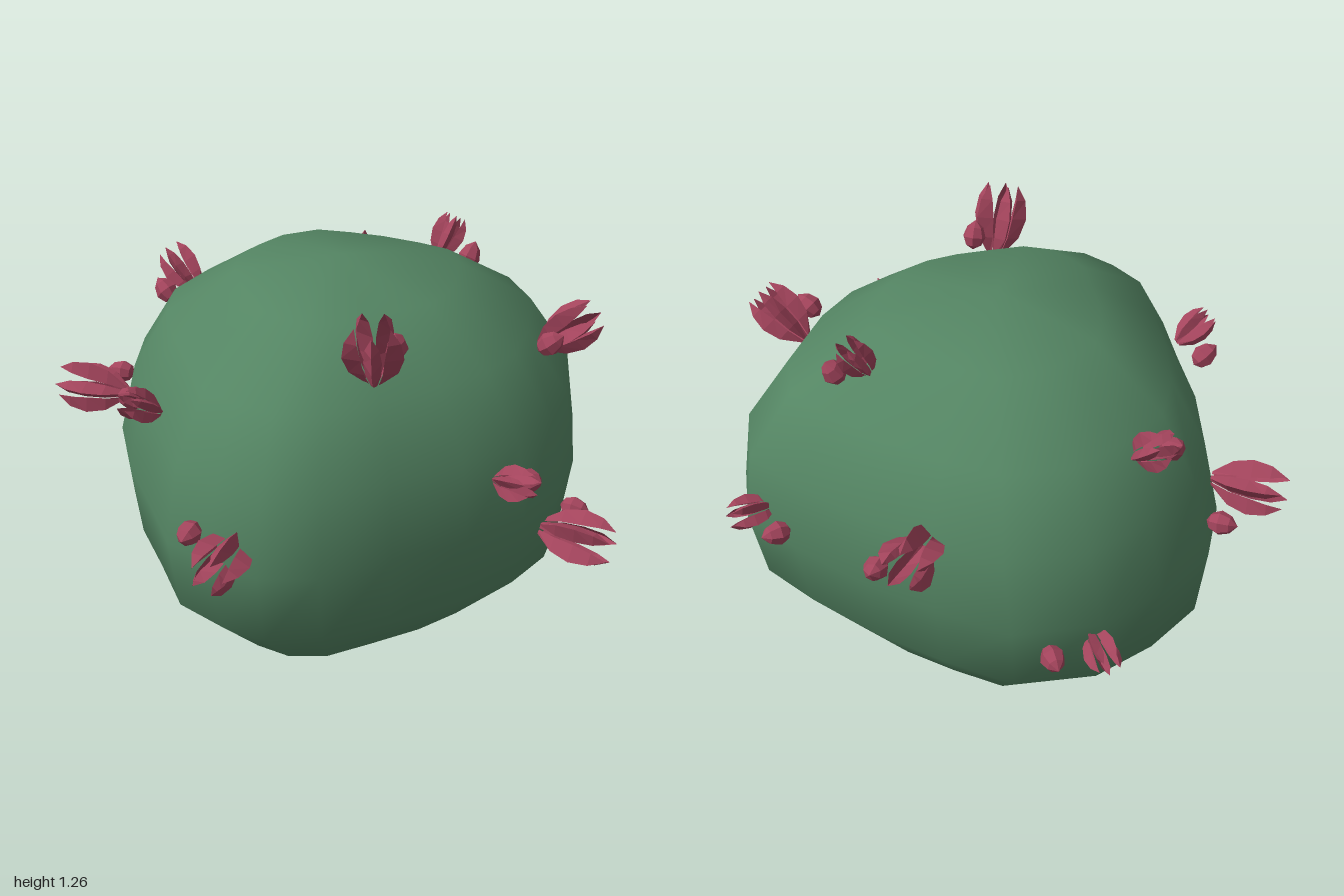
import * as THREE from 'three';

const green = new THREE.MeshStandardMaterial({ color: 0x548563 });
green.name = 'cactus green';
const red = new THREE.MeshStandardMaterial({ color: 0xa3445c, side: THREE.DoubleSide, flatShading: true });
red.name = 'blossom red';

// Widest outline of the body seen from above, [x, z], going from +x towards +z
const PLAN = [
  [0.79, 0], [0.73, 0.2], [0.6, 0.4], [0.42, 0.6], [0.25, 0.78], [0.07, 0.85], [-0.1, 0.83], [-0.28, 0.77],
  [-0.45, 0.58], [-0.62, 0.4], [-0.78, 0.17], [-0.86, -0.05], [-0.82, -0.3], [-0.73, -0.53], [-0.52, -0.72],
  [-0.26, -0.76], [0, -0.78], [0.3, -0.765], [0.53, -0.73], [0.69, -0.55], [0.78, -0.22],
];
// Rings of the body: height, left, right, back and front extents
const RINGS = [
  [0, -0.6, 0.53, -0.57, 0.58], [0.22, -0.83, 0.755, -0.73, 0.8], [0.49, -0.86, 0.79, -0.78, 0.85],
  [0.75, -0.79, 0.75, -0.76, 0.8], [0.97, -0.65, 0.61, -0.63, 0.67], [1.14, -0.39, 0.37, -0.39, 0.38],
];

function ringPoint([x, z], [y, x0, x1, z0, z1]) {
  return [x < 0 ? (x / -0.86) * x0 : (x / 0.79) * x1, y, z < 0 ? (z / -0.78) * z0 : (z / 0.85) * z1];
}

function indexed(pos, idx) {
  const g = new THREE.BufferGeometry();
  g.setAttribute('position', new THREE.Float32BufferAttribute(pos, 3));
  g.setIndex(idx);
  g.computeVertexNormals();
  return g;
}

function bodyGeometry() {
  const pos = [], idx = [], n = PLAN.length;
  for (const r of RINGS) for (const p of PLAN) pos.push(...ringPoint(p, r));
  pos.push(-0.02, 1.21, -0.03);
  const apex = n * RINGS.length;
  for (let i = 0; i < RINGS.length; i++) {
    for (let j = 0; j < n; j++) {
      const a = i * n + j, b = i * n + (j + 1) % n;
      if (i === RINGS.length - 1) idx.push(a, apex, b);
      else idx.push(a, a + n, b, b, a + n, b + n);
    }
  }
  return indexed(pos, idx);
}

function baseGeometry() {
  const pos = [], idx = [], n = PLAN.length;
  for (const p of PLAN) pos.push(...ringPoint(p, RINGS[0]));
  pos.push(0, 0, 0);
  for (let j = 0; j < n; j++) idx.push(j, (j + 1) % n, n);
  return indexed(pos, idx);
}

// Five folded petals: each row is height, ridge radius, edge radius, half angle
function blossomGeometry() {
  const rows = [
    [-0.13, 0.025, 0.02, 0.5], [-0.06, 0.08, 0.045, 0.56], [0.01, 0.1, 0.055, 0.54],
    [0.075, 0.09, 0.06, 0.38], [0.125, 0.058, 0.057, 0.02],
  ];
  const pos = [], idx = [];
  for (let k = 0; k < 5; k++) {
    const turn = (k / 5) * Math.PI * 2, start = pos.length / 3;
    for (const [y, ridge, edge, half] of rows) {
      for (const [r, a] of [[edge, turn - half], [ridge, turn], [edge, turn + half]]) {
        pos.push(Math.cos(a) * r, y, Math.sin(a) * r);
      }
    }
    for (let i = 0; i < rows.length - 1; i++) {
      for (let j = 0; j < 2; j++) {
        const a = start + i * 3 + j;
        idx.push(a, a + 3, a + 1, a + 1, a + 3, a + 4);
      }
    }
  }
  return indexed(pos, idx);
}

// Blossom centre, direction, size, and centre of the bud beside it
const FLOWERS = [
  [[0.3, 1.13, 0.47], [0.1, 0.9, 0.35], 1, [0.33, 1.11, 0.36]],
  [[0.72, 0.97, -0.25], [0.75, 0.6, -0.1], 0.88, [0.69, 0.96, -0.14]],
  [[0.73, 0.71, 0.36], [0.85, 0.25, 0.4], 0.62, [0.75, 0.67, 0.26]],
  [[0.875, 0.37, 0.07], [1, -0.05, 0.1], 1, [0.84, 0.42, -0.03]],
  [[-0.03, 0.55, 0.87], [0, 0, 1], 0.95, [-0.17, 0.58, 0.82]],
  [[-0.44, 0.86, 0.6], [-0.4, 0.5, 0.7], 0.6, [-0.53, 0.83, 0.51]],
  [[-0.71, 0.97, -0.22], [-0.7, 0.65, -0.2], 0.72, [-0.73, 0.92, -0.12]],
  [[-0.885, 0.64, 0.17], [-1, 0.08, 0.15], 0.98, [-0.88, 0.61, -0.02]],
  [[-0.27, 0.81, -0.87], [-0.25, 0.3, -0.9], 1, [-0.13, 0.7, -0.88]],
  [[-0.75, 0.42, -0.56], [-0.75, -0.05, -0.6], 0.62, [-0.63, 0.39, -0.65]],
  [[0.46, 0.58, -0.78], [0.4, 0.1, -0.9], 0.62, [0.33, 0.57, -0.81]],
  [[0.2, 1.13, -0.5], [0.25, 0.85, -0.45], 0.62, [0.28, 1.06, -0.52]],
];

export function createModel() {
  const model = new THREE.Group();
  model.name = 'roundCactus';
  const add = (name, geometry, material, parent = model) => {
    const mesh = new THREE.Mesh(geometry, material);
    mesh.name = name;
    parent.add(mesh);
    return mesh;
  };

  add('body', bodyGeometry(), green);
  add('base', baseGeometry(), green);

  // Blossoms, each with a small pointed bud beside it
  const blossom = blossomGeometry();
  const bud = new THREE.LatheGeometry(
    [[0, -0.05], [0.028, -0.035], [0.041, -0.005], [0.029, 0.03], [0, 0.055]].map(([x, y]) => new THREE.Vector2(x, y)), 7);
  const up = new THREE.Vector3(0, 1, 0);
  for (const [centre, dir, size, budCentre] of FLOWERS) {
    const flower = new THREE.Group();
    flower.name = 'flower';
    model.add(flower);
    const d = new THREE.Vector3(...dir).normalize();
    const petals = add('blossom', blossom, red, flower);
    petals.position.set(...centre);
    petals.quaternion.setFromUnitVectors(up, d);
    petals.scale.setScalar(size);
    const side = add('bud', bud, red, flower);
    side.position.set(...budCentre);
    side.quaternion.setFromUnitVectors(up, d);
  }
  return model;
}
